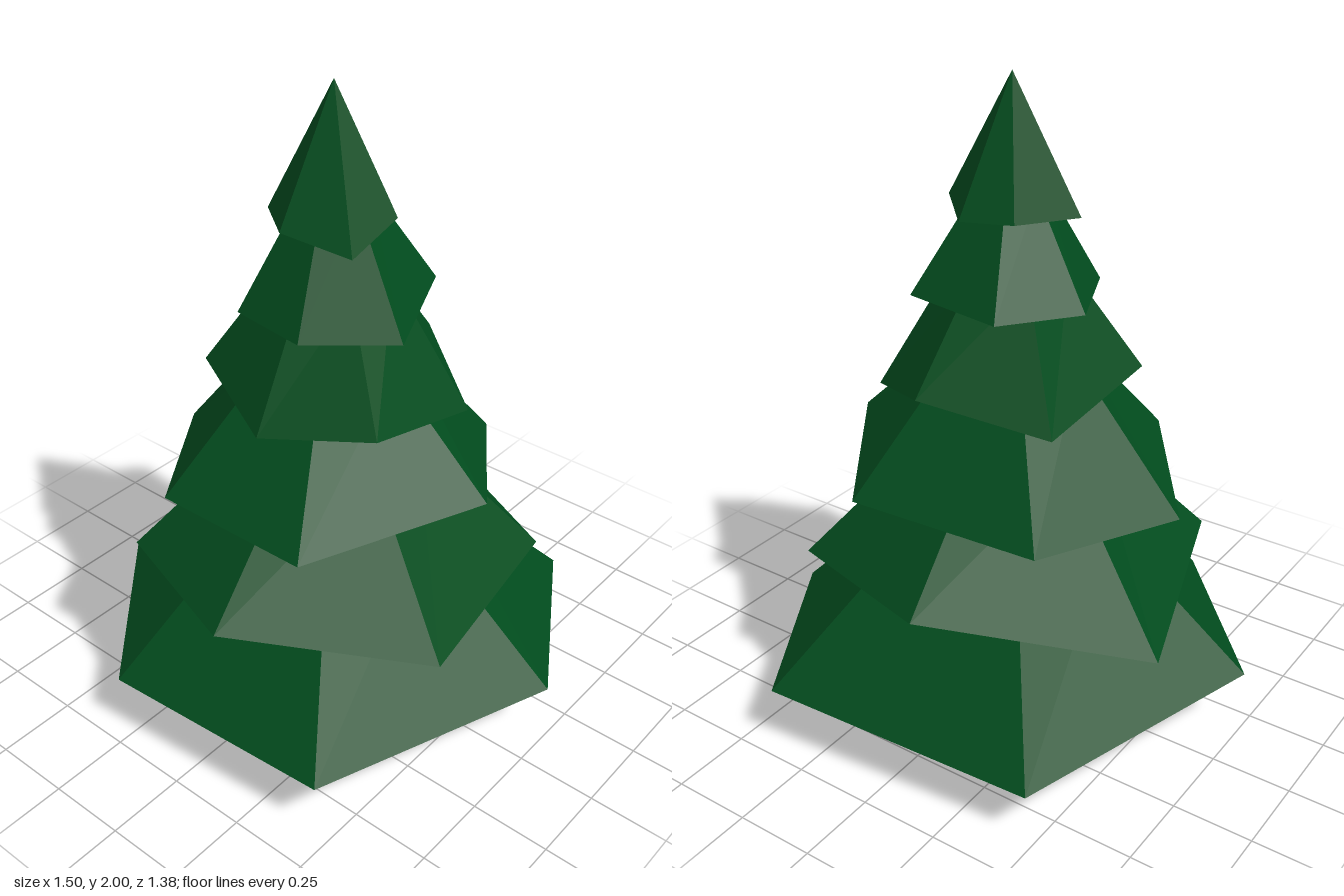
import * as THREE from 'three';

// Each tier: rim corners [x, y, z] going round from the front,
// then the height and scale of its narrow top and the depth of its hollow underside.
const TIERS = [
  { top: 0.63, scale: 0.42, hollow: 0.10, rim: [[-0.30, 0.19, 0.69], [0.45, 0.175, 0.63], [0.745, 0.19, -0.13], [0.41, 0.185, -0.69], [-0.47, 0.15, -0.61], [-0.75, 0.205, 0.18]] },
  { top: 0.90, scale: 0.39, hollow: 0.09, rim: [[-0.44, 0.515, 0.45], [0.10, 0.57, 0.655], [0.61, 0.48, 0.265], [0.51, 0.495, -0.385], [-0.07, 0.57, -0.60], [-0.645, 0.43, -0.195]] },
  { top: 1.18, scale: 0.39, hollow: 0.08, rim: [[-0.24, 0.805, 0.495], [0.27, 0.80, 0.485], [0.545, 0.86, -0.025], [0.245, 0.795, -0.46], [-0.345, 0.765, -0.385], [-0.56, 0.755, 0.055]] },
  { top: 1.44, scale: 0.42, hollow: 0.06, rim: [[-0.325, 1.125, 0.215], [0.04, 1.08, 0.39], [0.345, 1.115, 0.235], [0.365, 1.035, -0.17], [0.07, 1.135, -0.37], [-0.31, 1.065, -0.25]] },
  { top: 1.68, scale: 0.34, hollow: 0.06, rim: [[-0.15, 1.355, 0.25], [0.105, 1.355, 0.285], [0.32, 1.35, 0.095], [0.18, 1.385, -0.24], [-0.135, 1.375, -0.275], [-0.295, 1.375, -0.065]] },
  { top: 2.00, scale: 0, hollow: 0.05, rim: [[-0.195, 1.60, 0.065], [-0.025, 1.62, 0.205], [0.18, 1.58, 0.145], [0.18, 1.635, -0.05], [0.05, 1.61, -0.18], [-0.105, 1.615, -0.135]] },
];

// Skin a stack of rings: ceiling centre, ceiling edge, level lip, uneven rim, top ring, top centre
function tierGeometry({ rim, top, scale, hollow }) {
  const n = rim.length;
  const level = rim.reduce((sum, p) => sum + p[1], 0) / n;
  const ring = (s, y) => rim.map(([x, , z]) => [x * s - 0.005 * (1 - s), y, z * s]);
  const rings = [ring(0, level + hollow), ring(0.58, level + hollow), ring(0.85, level + 0.01), rim, ring(scale, top)];
  if (scale > 0) rings.push(ring(0, top));

  const index = [];
  for (let k = 0; k < rings.length - 1; k++) {
    for (let i = 0; i < n; i++) {
      const j = (i + 1) % n;
      const a = k * n + i, b = k * n + j, c = a + n, d = b + n;
      const last = k === rings.length - 2;
      if (k > 0) index.push(a, b, last ? c : d);
      if (!last) index.push(a, d, c);
    }
  }
  const geometry = new THREE.BufferGeometry();
  geometry.setAttribute('position', new THREE.Float32BufferAttribute(rings.flat(2), 3));
  geometry.setIndex(index);
  const flat = geometry.toNonIndexed();
  flat.computeVertexNormals();
  return flat;
}

export function createModel() {
  const tree = new THREE.Group();
  tree.name = 'pineTree';
  const leaf = new THREE.MeshStandardMaterial({ color: 0x024c1e, flatShading: true });
  const bark = new THREE.MeshStandardMaterial({ color: 0x5a4500, flatShading: true });

  // Six-sided trunk reaching into the lowest tier
  const trunk = new THREE.Mesh(
    new THREE.CylinderGeometry(0.124, 0.124, 0.34, 6, 1, false, THREE.MathUtils.degToRad(39)), bark);
  trunk.position.set(0.01, 0.17, 0.005);
  trunk.name = 'trunk';
  tree.add(trunk);

  // Overlapping foliage tiers
  TIERS.forEach((tier, i) => {
    const mesh = new THREE.Mesh(tierGeometry(tier), leaf);
    mesh.name = `foliageTier${i + 1}`;
    tree.add(mesh);
  });
  return tree;
}
